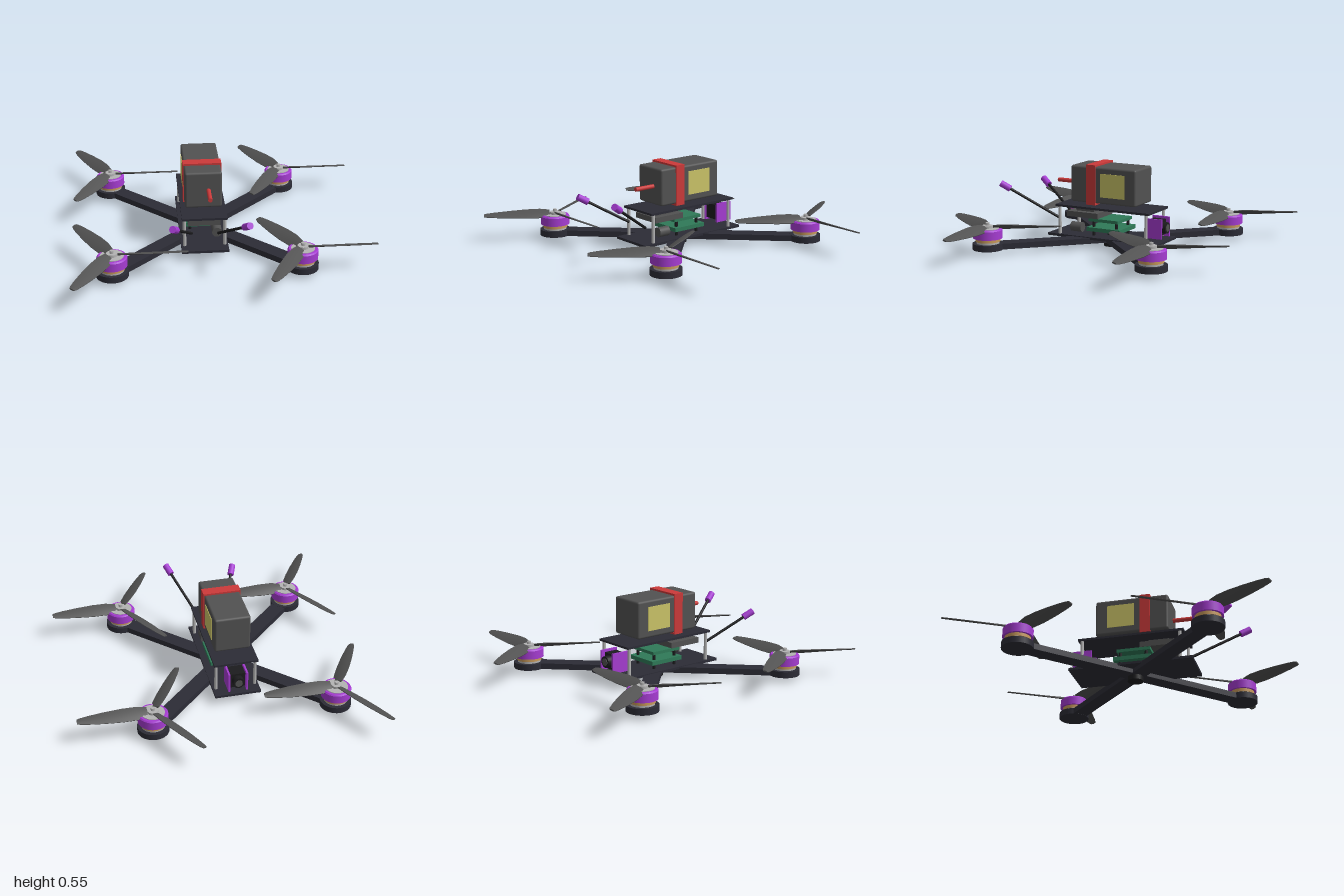
import * as THREE from 'three';
import { RoundedBoxGeometry } from 'three/addons/geometries/RoundedBoxGeometry.js';

const mat = (name, color, extra = {}) => {
  const m = new THREE.MeshStandardMaterial({ color, ...extra });
  m.name = name;
  return m;
};

export function createModel() {
  const carbon = mat('carbon', 0x2c2c36);
  const black = mat('black', 0x1c1c1e);
  const grey = mat('darkGrey', 0x525252);
  const purple = mat('purple', 0xa63cd2);
  const green = mat('boardGreen', 0x2f7a58);
  const red = mat('red', 0xcc3a3a);
  const yellow = mat('labelYellow', 0xcbc468);
  const copper = mat('copper', 0xc89a5c);
  const silver = mat('silver', 0xb4b4b4);

  const model = new THREE.Group();
  model.name = 'quadcopter';
  // The frame centre sits slightly off x = 0
  const craft = new THREE.Group();
  craft.name = 'craft';
  craft.position.x = -0.112;
  model.add(craft);

  const add = (name, geo, material, x = 0, y = 0, z = 0, parent = craft) => {
    const m = new THREE.Mesh(geo, material);
    m.name = name;
    m.position.set(x, y, z);
    parent.add(m);
    return m;
  };
  const box = (name, w, h, d, material, x, y, z, parent) =>
    add(name, new THREE.BoxGeometry(w, h, d), material, x, y, z, parent);
  // Upright cylinder given by its bottom and top heights
  const post = (name, r, y0, y1, material, x = 0, z = 0, parent = craft, rTop = r, sides = 32) =>
    add(name, new THREE.CylinderGeometry(rTop, r, y1 - y0, sides), material, x, (y0 + y1) / 2, z, parent);
  // Cylinder between two points
  const rod = (name, a, b, r, material, sides = 12) => {
    const d = b.clone().sub(a);
    const m = add(name, new THREE.CylinderGeometry(r, r, d.length(), sides), material);
    m.position.copy(a).add(b).multiplyScalar(0.5);
    m.quaternion.setFromUnitVectors(new THREE.Vector3(0, 1, 0), d.normalize());
    return m;
  };

  // Propeller blade along +x: a box reshaped by chord, pitch and thickness
  const stations = [ // radius, half chord, pitch
    [0.035, 0.032, 0.5], [0.1, 0.044, 0.5], [0.19, 0.046, 0.44], [0.3, 0.04, 0.38],
    [0.4, 0.03, 0.34], [0.45, 0.022, 0.32], [0.468, 0.015, 0.3],
  ];
  const bladeGeo = new THREE.BoxGeometry(1, 1, 1, stations.length - 1, 1, 4);
  const p = bladeGeo.attributes.position;
  for (let i = 0; i < p.count; i++) {
    const [r, half, pitch] = stations[Math.round((p.getX(i) + 0.5) * (stations.length - 1))];
    const c = p.getZ(i) * 2 * half;
    const t = p.getY(i) * 0.014 * (1 - 2.6 * p.getZ(i) ** 2) * (1 - 0.7 * r);
    p.setXYZ(i, r, c * Math.sin(pitch) + t * Math.cos(pitch), c * Math.cos(pitch) - t * Math.sin(pitch));
  }
  bladeGeo.computeVertexNormals();

  // Arms with motors and propellers
  const reach = 0.588;
  for (const sx of [-1, 1]) for (const sz of [-1, 1]) {
    const arm = box('arm', reach * Math.SQRT2, 0.038, 0.1, carbon, sx * reach / 2, 0.05, sz * reach / 2);
    arm.rotation.y = -Math.atan2(sz, sx);

    const motor = new THREE.Group();
    motor.name = 'motor';
    motor.position.set(sx * reach, 0, sz * reach);
    craft.add(motor);
    post('motorMount', 0.1, 0.03, 0.07, carbon, 0, 0, motor);
    post('motorBase', 0.075, 0.07, 0.083, silver, 0, 0, motor);
    post('motorWindings', 0.08, 0.083, 0.108, copper, 0, 0, motor);
    post('motorBell', 0.095, 0.104, 0.158, purple, 0, 0, motor);
    post('bellRim', 0.095, 0.158, 0.166, purple, 0, 0, motor, 0.088);
    post('bellCap', 0.074, 0.16, 0.17, silver, 0, 0, motor);
    post('propellerHub', 0.034, 0.17, 0.186, silver, 0, 0, motor);
    post('propellerNut', 0.014, 0.186, 0.204, silver, 0, 0, motor, 0.014, 6);
    for (let k = 0; k < 3; k++) {
      const blade = add('propellerBlade', bladeGeo, grey, 0, 0.176, 0, motor);
      blade.rotation.y = k * Math.PI * 2 / 3;
    }
  }

  // Frame plates, standoffs and centre bolt
  box('bottomPlate', 0.3, 0.016, 0.805, carbon, 0, 0.066, 0);
  box('topPlate', 0.288, 0.014, 0.69, carbon, 0, 0.265, 0);
  for (const x of [-0.128, 0.128]) for (const z of [-0.32, 0.32])
    post('standoff', 0.011, 0.072, 0.26, silver, x, z, craft, 0.011, 12);
  post('boltHead', 0.05, 0, 0.032, black);
  post('boltShaft', 0.025, 0.03, 0.098, black);

  // Electronics stack
  box('lowerBoard', 0.23, 0.026, 0.245, green, 0, 0.12, 0.003);
  box('upperBoard', 0.2, 0.02, 0.22, green, 0, 0.18, 0.01);
  for (const x of [-0.08, 0.08]) for (const z of [-0.08, 0.09])
    post('boardSpacer', 0.01, 0.074, 0.172, black, x, z, craft, 0.01, 10);
  box('transmitter', 0.206, 0.036, 0.23, grey, 0, 0.208, 0.165);
  box('transmitterCover', 0.125, 0.024, 0.135, grey, 0, 0.238, 0.165);
  rod('capacitor', new THREE.Vector3(0.085, 0.122, 0.17), new THREE.Vector3(0.085, 0.122, 0.25), 0.032, grey, 24);

  // Rear camera between two side plates
  for (const s of [-1, 1]) box('cameraBracket', 0.012, 0.13, 0.122, purple, s * 0.058, 0.158, -0.338);
  box('cameraBody', 0.1, 0.1, 0.09, black, 0, 0.158, -0.33);
  rod('cameraBarrel', new THREE.Vector3(0, 0.16, -0.37), new THREE.Vector3(0, 0.16, -0.412), 0.037, black, 24);
  rod('cameraLens', new THREE.Vector3(0, 0.16, -0.41), new THREE.Vector3(0, 0.16, -0.416), 0.024, grey, 24);

  // Battery with strap, labels and power lead
  add('battery', new RoundedBoxGeometry(0.235, 0.242, 0.48, 2, 0.014), grey, 0, 0.418, 0.002);
  const ring = new THREE.Shape([[-0.123, -0.133], [0.123, -0.133], [0.123, 0.133], [-0.123, 0.133]]
    .map(([x, y]) => new THREE.Vector2(x, y)));
  ring.holes.push(new THREE.Path([[-0.116, -0.12], [-0.116, 0.12], [0.116, 0.12], [0.116, -0.12]]
    .map(([x, y]) => new THREE.Vector2(x, y))));
  add('batteryStrap', new THREE.ExtrudeGeometry(ring, { depth: 0.068, bevelEnabled: false }), red, 0, 0.418, 0.056);
  for (const s of [-1, 1]) box('batteryLabel', 0.005, 0.156, 0.178, yellow, s * 0.1185, 0.42, -0.07);
  rod('powerLead', new THREE.Vector3(0.032, 0.417, 0.23), new THREE.Vector3(0.032, 0.417, 0.385), 0.014, red, 16);

  // Antennas with capped tips
  const antennas = [
    [new THREE.Vector3(-0.085, 0.175, 0.35), new THREE.Vector3(-0.218, 0.366, 0.658)],
    [new THREE.Vector3(0.085, 0.17, 0.35), new THREE.Vector3(0.244, 0.397, 0.71)],
  ];
  for (const [a, b] of antennas) {
    const capStart = b.clone().add(a.clone().sub(b).setLength(0.075));
    rod('antenna', a, capStart, 0.009, black);
    rod('antennaTip', capStart, b, 0.022, purple, 16);
  }

  return model;
}
